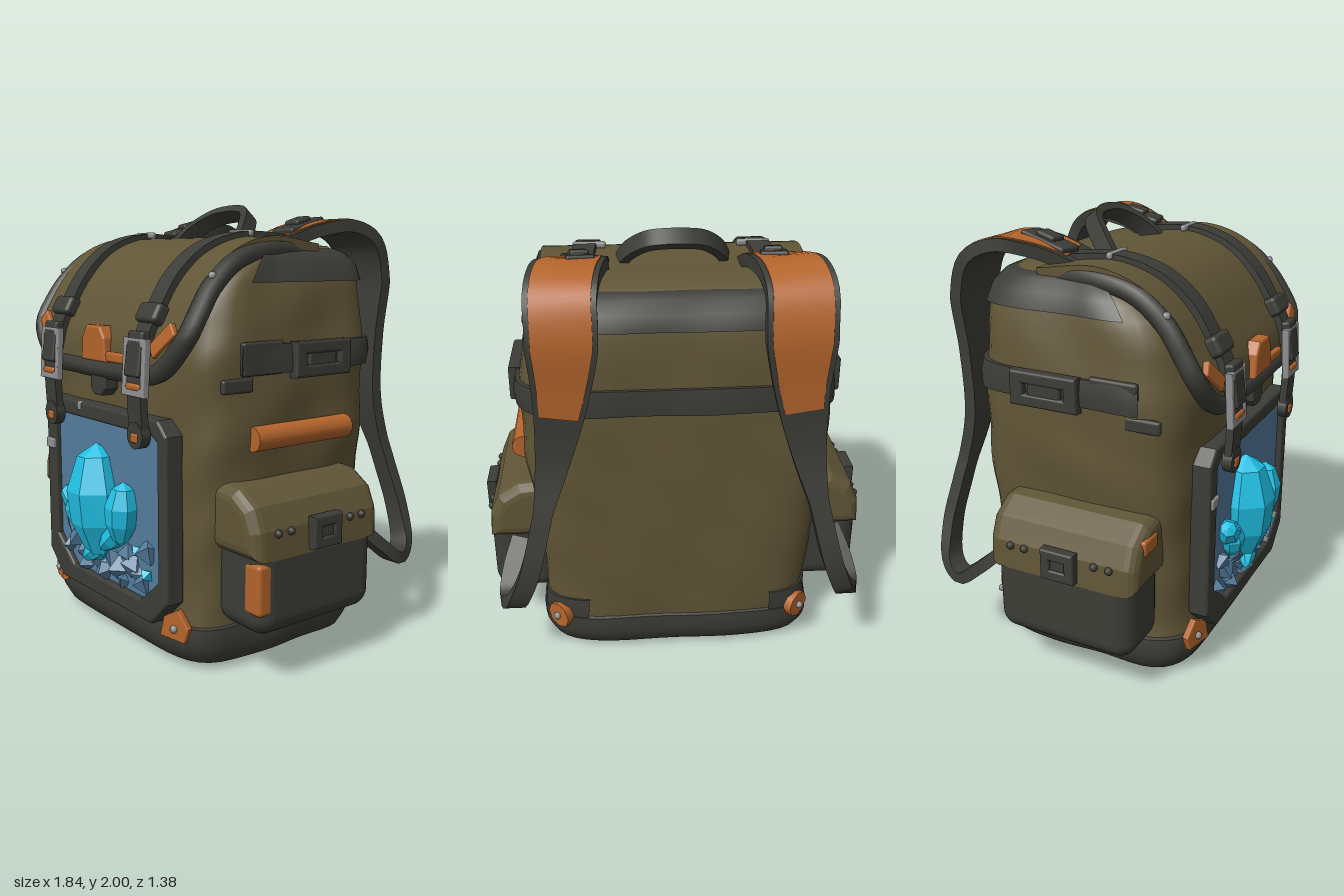
import * as THREE from 'three';
import { mergeVertices, toCreasedNormals } from 'three/addons/utils/BufferGeometryUtils.js';
import { RoundedBoxGeometry } from 'three/addons/geometries/RoundedBoxGeometry.js';

const mat = (name, color) => Object.assign(new THREE.MeshStandardMaterial({ color }), { name });
const V = (p) => new THREE.Vector3(...p);
const lerp = THREE.MathUtils.lerp;

// Surface from a rule f(i, j): i runs right and j runs up, seen from outside
function grid(nu, nv, f, crease = 0.7) {
  const pos = [], idx = [];
  for (let j = 0; j <= nv; j++) for (let i = 0; i <= nu; i++) pos.push(...f(i, j));
  for (let j = 0; j < nv; j++) for (let i = 0; i < nu; i++) {
    const a = j * (nu + 1) + i, d = a + nu + 1;
    idx.push(a, a + 1, d + 1, a, d + 1, d);
  }
  const g = new THREE.BufferGeometry();
  g.setAttribute('position', new THREE.Float32BufferAttribute(pos, 3));
  g.setIndex(idx);
  return toCreasedNormals(mergeVertices(g, 1e-5), crease);
}

// Body cross-sections: height, half width, front z, back z
const sections = [
  [0, 0.56, 0.42, 0.42], [0.03, 0.61, 0.47, 0.46], [0.1, 0.64, 0.5, 0.495], [0.18, 0.64, 0.5, 0.495],
  [0.24, 0.63, 0.495, 0.5], [0.5, 0.645, 0.495, 0.51], [1, 0.695, 0.5, 0.515], [1.35, 0.695, 0.5, 0.515],
  [1.55, 0.67, 0.45, 0.51], [1.65, 0.65, 0.39, 0.5], [1.72, 0.625, 0.3, 0.48], [1.77, 0.59, 0.2, 0.44], [1.8, 0.55, 0.12, 0.38],
];
// Point on the body; s goes round: 0-1 left side, 1-2 back, 2-3 right side, 3-4 front
function bodyPoint(s, y, off = 0, scale = 1) {
  let k = sections.findIndex((r) => r[0] >= y);
  k = k < 0 ? sections.length - 1 : Math.max(k, 1);
  const A = sections[k - 1], B = sections[k], t = Math.min(1, (y - A[0]) / (B[0] - A[0]));
  const [hw, zf, zb] = [1, 2, 3].map((i) => lerp(A[i], B[i], t) + off);
  const side = Math.floor(s) % 4, u = (s % 1) * 2 - 1;
  let [a, b] = [[1, -u], [-u, -1], [-1, u], [u, 1]][side];
  const n = (Math.abs(a) ** 6 + Math.abs(b) ** 6) ** (1 / 6);
  a /= n; b /= n;
  const wob = 1 + 0.012 * Math.sin(11 * y + 6 * b) * Math.sin(8 * a - 6 * y + 2 * b);
  return [a * hw * scale * wob, y, b * (b > 0 ? zf : zb) * scale * wob];
}
// Shell round the body; each row is [y, offset, scale]
const shell = (rows, s0 = 0, s1 = 4, n = 64) =>
  grid(n, rows.length - 1, (i, j) => bodyPoint(lerp(s0, s1, i / n), ...rows[j]));
const bandRows = (y0, y1, o) => [[y0, -0.02], [y0, o], [(y0 + y1) / 2, o + 0.004], [y1, o], [y1, -0.02]];

// Flat strap with a rectangular section, swept along a curve
function ribbon(pts, width, thick, { side = [1, 0, 0], t0 = 0, t1 = 1, lift = 0, n = 40 } = {}) {
  const curve = new THREE.CatmullRomCurve3(pts.map(V), false, 'centripetal');
  const corners = [[1, -1], [1, 1], [-1, 1], [-1, -1], [1, -1]];
  return grid(4, n + 2, (i, j) => {
    const k = Math.min(n, Math.max(0, j - 1)) / n, t = lerp(t0, t1, k);
    const p = curve.getPointAt(t), T = curve.getTangentAt(t), S = V(side);
    S.addScaledVector(T, -T.dot(S)).normalize();
    const N = T.clone().cross(S), cap = j === 0 || j === n + 2 ? 0 : 1;
    const w = (typeof width === 'function' ? width(t) : width) / 2;
    p.addScaledVector(S, corners[i][0] * w * cap).addScaledVector(N, lift + corners[i][1] * thick / 2 * cap);
    return p.toArray();
  });
}

// Extruded plate in the xy plane with an optional hole
function plate(outer, hole, depth, bevel = 0.012) {
  const s = new THREE.Shape(outer.map((p) => new THREE.Vector2(...p)));
  if (hole) s.holes.push(new THREE.Path(hole.map((p) => new THREE.Vector2(...p))));
  return new THREE.ExtrudeGeometry(s, { depth, bevelEnabled: bevel > 0, bevelSize: bevel, bevelThickness: bevel, bevelSegments: 4 });
}
const rect = (w, h) => [[-w, -h], [w, -h], [w, h], [-w, h]];

export function createModel() {
  const model = new THREE.Group();
  const olive = mat('olive canvas', 0x605536), dark = mat('dark webbing', 0x3c3d37), orange = mat('orange leather', 0xb4652c);
  const blue = mat('blue glass', 0x547c9c), cyan = mat('cyan crystal', 0x20c0e4), metal = mat('grey metal', 0x8f8f92);
  const add = (name, geo, m, p = [0, 0, 0], r = [0, 0, 0], parent = model) => {
    const mesh = new THREE.Mesh(geo, m);
    mesh.name = name; mesh.position.set(...p); mesh.rotation.set(...r);
    parent.add(mesh);
    return mesh;
  };
  const box = (w, h, d, r = 0.012) => new RoundedBoxGeometry(w, h, d, 2, r);
  const rivet = new THREE.SphereGeometry(0.018, 8, 6);

  // Main bag, base and webbing bands
  const ys = Array.from({ length: 33 }, (_, i) => [lerp(0.18, 1.8, i / 32)]);
  add('body', shell([...ys, [1.815, 0, 0.7], [1.825, 0, 0]]), olive);
  add('base', shell([[0, 0, 0], [0, 0.008], [0.015, 0.01], [0.03, 0.012], [0.07, 0.014], [0.11, 0.014], [0.16, 0.014], [0.195, 0.012], [0.21, -0.02]]), dark);
  add('upperBand', shell([[1.65, -0.02], [1.65, 0.014], [1.72, 0.014], [1.77, 0.012], [1.79, 0.004], [1.79, -0.03]], 0.2, 2.8), dark);
  add('middleBand', shell(bandRows(1.28, 1.4, 0.016), 0.18, 2.82), dark);

  // Top flap with trim
  add('flap', ribbon([[0, 1.785, -0.2], [0, 1.815, 0.08], [0, 1.755, 0.27], [0, 1.65, 0.39], [0, 1.53, 0.47], [0, 1.4, 0.535], [0, 1.27, 0.55]],
    (t) => (t < 0.82 ? 1.17 : lerp(1.17, 0.86, (t - 0.82) / 0.18)), 0.05), olive);
  const edge = [[0.53, 1.765, -0.2], [0.565, 1.785, 0.05], [0.58, 1.74, 0.26], [0.59, 1.64, 0.39], [0.6, 1.53, 0.47], [0.59, 1.43, 0.525], [0.44, 1.285, 0.55], [0.2, 1.265, 0.555]];
  const trim = [...edge, ...edge.slice().reverse().map(([x, y, z]) => [-x, y, z])].map(V);
  add('flapTrim', new THREE.TubeGeometry(new THREE.CatmullRomCurve3(trim, false, 'centripetal'), 90, 0.043, 8), dark);
  add('flapTab', plate([[-0.09, 1.31], [0.09, 1.31], [0.08, 1.4], [0.05, 1.445], [-0.05, 1.445], [-0.08, 1.4]], null, 0.04), orange, [0, 0, 0.55]);
  add('flapPatch', box(0.18, 0.045, 0.03), orange, [0.18, 1.325, 0.58]);
  add('flapClasp', plate([[-0.05, 1.18], [-0.025, 1.155], [0.025, 1.155], [0.05, 1.18], [0.05, 1.25], [-0.05, 1.25]], null, 0.05), dark, [0, 0, 0.52]);

  // Carry handle
  add('handle', ribbon([[-0.235, 1.81, -0.05], [-0.2, 1.875, -0.11], [-0.12, 1.94, -0.19], [-0.05, 1.955, -0.215], [0.05, 1.955, -0.215], [0.12, 1.94, -0.19], [0.2, 1.875, -0.11], [0.235, 1.81, -0.05]],
    0.08, 0.038, { side: [0, 0.65, 0.76] }), dark);

  // Window: frame, panel, crystals and rubble
  const outer = [[-0.38, 0.2], [0.38, 0.2], [0.495, 0.31], [0.495, 1.02], [0.44, 1.075], [-0.44, 1.075], [-0.495, 1.02], [-0.495, 0.31]];
  const inner = [[-0.28, 0.26], [0.31, 0.26], [0.455, 0.38], [0.455, 1.0], [0.41, 1.03], [-0.41, 1.03], [-0.44, 1.0], [-0.44, 0.39]];
  add('windowFrame', plate(outer, inner, 0.065, 0.014), dark, [0, 0, 0.49]);
  add('windowPanel', plate(inner, null, 0.05, 0), blue, [0, 0, 0.49]);
  const crystal = (r, h, p, tilt) => {
    const profile = [[0, -0.5], [0.45, -0.4], [0.9, -0.15], [1, 0.12], [0.62, 0.4], [0, 0.5]];
    const g = new THREE.LatheGeometry(profile.map(([x, y]) => new THREE.Vector2(x * r, y * h)), 7);
    add('crystal', toCreasedNormals(g, 0.05), cyan, p, [0, 0.4, tilt]);
  };
  crystal(0.145, 0.57, [-0.05, 0.63, 0.555], 0.03);
  crystal(0.08, 0.3, [0.18, 0.63, 0.575], -0.06);
  crystal(0.06, 0.2, [-0.25, 0.6, 0.555], 0.9);
  crystal(0.06, 0.2, [-0.22, 0.55, 0.565], 0.3);
  crystal(0.055, 0.22, [0.1, 0.51, 0.565], -0.8);
  crystal(0.05, 0.18, [-0.05, 0.41, 0.575], -0.9);
  for (const [x, y] of [[0.27, 0.48], [0.34, 0.39]]) add('shard', toCreasedNormals(new THREE.OctahedronGeometry(0.035), 0.05), cyan, [x, y, 0.555], [0.3, 0.4, 0.6]);
  for (let i = 0; i < 18; i++) {
    const x = -0.34 + i * 0.04, y = 0.31 + 0.045 * ((i * 7) % 4) + 0.4 * Math.max(0, Math.abs(x) - 0.22);
    add('rubble', toCreasedNormals(new THREE.OctahedronGeometry(0.045 + 0.01 * (i % 3)), 0.05), blue, [x, y, 0.54], [i, i * 2, i * 3]);
  }
  add('frameClip', box(0.07, 0.05, 0.03, 0.008), metal, [-0.465, 0.85, 0.565]);
  add('frameStud', box(0.03, 0.04, 0.03, 0.008), metal, [-0.185, 1.07, 0.56]);

  // Rolled mat on the left side
  add('sideRoll', new THREE.CylinderGeometry(0.053, 0.053, 0.54, 14), orange, [0.7, 1.015, 0], [Math.PI / 2, 0, 0]);

  for (const sx of [1, -1]) {
    const M = (pts) => pts.map(([x, y, z]) => [x * sx, y, z]);

    // Front closing straps with buckles
    add('frontStrap', ribbon(M([[0.41, 1.83, -0.16], [0.385, 1.845, 0.08], [0.37, 1.79, 0.28], [0.36, 1.68, 0.415], [0.36, 1.56, 0.495], [0.36, 1.42, 0.57], [0.36, 1.25, 0.605], [0.36, 1.03, 0.6]]), 0.1, 0.035), dark);
    add('strapEnd', new THREE.CylinderGeometry(0.058, 0.058, 0.045, 14), dark, [0.36 * sx, 1.02, 0.6], [Math.PI / 2, 0, 0]);
    add('strapEndPatch', box(0.05, 0.04, 0.02, 0.008), orange, [0.36 * sx, 1.01, 0.62]);
    add('strapKeeper', box(0.15, 0.09, 0.07, 0.02), dark, [0.36 * sx, 1.52, 0.525], [-0.5, 0, 0]);
    add('strapBuckle', plate(rect(0.076, 0.115), rect(0.06, 0.09), 0.02, 0.006), metal, [0.36 * sx, 1.305, 0.6], [-0.06, 0, 0]);
    add('buckleTongue', box(0.11, 0.19, 0.045), dark, [0.36 * sx, 1.36, 0.605], [-0.15, 0, 0]);
    add('buckleTab', box(0.1, 0.03, 0.03), orange, [0.36 * sx, 1.225, 0.62]);
    add('topBar', box(0.15, 0.03, 0.03), metal, [0.37 * sx, 1.855, 0.06]);
    add('flapCornerPatch', box(0.16, 0.07, 0.03, 0.008), orange, [0.48 * sx, 1.42, 0.555], [-0.25, 0, sx * 0.72]);

    // Shoulder straps
    const path = M([[0.38, 1.8, -0.08], [0.42, 1.87, -0.26], [0.46, 1.885, -0.42], [0.48, 1.825, -0.54], [0.48, 1.68, -0.595], [0.5, 1.4, -0.58], [0.55, 1.1, -0.57],
      [0.62, 0.8, -0.63], [0.68, 0.58, -0.665], [0.75, 0.42, -0.63], [0.79, 0.375, -0.54], [0.78, 0.45, -0.43], [0.74, 0.55, -0.32]]);
    const width = (t) => (t < 0.12 ? lerp(0.2, 0.29, t / 0.12) : t < 0.3 ? 0.29 : lerp(0.29, 0.085, Math.min(1, (t - 0.3) / 0.32)));
    add('shoulderStrap', ribbon(path, width, 0.055, { n: 70 }), dark);
    add('shoulderPad', ribbon(path, (t) => width(t) - 0.045, 0.02, { t0: 0.03, t1: 0.43, lift: -0.022 }), orange);
    add('shoulderBuckle', box(0.12, 0.04, 0.24), dark, [0.415 * sx, 1.885, -0.24], [0.25, sx * 0.15, 0]);
    add('shoulderBuckleTop', box(0.08, 0.03, 0.1), dark, [0.41 * sx, 1.91, -0.24], [0.25, sx * 0.15, 0]);

    // Side webbing buckle
    add('sideBuckle', plate(rect(0.15, 0.065), rect(0.11, 0.035), 0.03), dark, [0.7 * sx, 1.33, -0.1], [0, sx * Math.PI / 2, 0]);
    add('sideBuckleCore', box(0.04, 0.09, 0.16), dark, [0.715 * sx, 1.33, -0.1]);
    add('webbingEnd', box(0.03, 0.14, 0.22), dark, [0.69 * sx, 1.345, 0.21]);
    add('webbingTail', box(0.03, 0.06, 0.16), dark, [0.685 * sx, 1.24, 0.34]);

    // Side pocket, local +x pointing outward
    const pocket = new THREE.Group();
    pocket.name = 'sidePocket';
    pocket.position.set(0.74 * sx, 0, 0.04);
    pocket.rotation.y = sx > 0 ? 0 : Math.PI;
    model.add(pocket);
    const addP = (name, geo, m, p, r) => add(name, geo, m, p, r, pocket);
    addP('pocketBag', new RoundedBoxGeometry(0.31, 0.42, 0.67, 4, 0.085), dark, [-0.01, 0.43, 0]);
    addP('pocketFlap', plate([[-0.16, 0.605], [0.085, 0.605], [0.08, 0.66], [0.05, 0.73], [-0.02, 0.775], [-0.16, 0.79]], null, 0.61, 0.058), olive, [0, 0, -0.305]);
    addP('pocketClaspFrame', plate(rect(0.07, 0.06), rect(0.045, 0.032), 0.03, 0.01), dark, [0.14, 0.635, -0.01], [0, Math.PI / 2, 0]);
    addP('pocketClasp', box(0.05, 0.13, 0.08), dark, [0.145, 0.63, -0.01]);
    if (sx > 0) addP('pocketPatch', box(0.1, 0.22, 0.08, 0.02), orange, [0.09, 0.43, 0.298]);
    else addP('pocketFlapPatch', box(0.12, 0.07, 0.03), orange, [0, 0.745, -0.355]);
    for (const z of [-0.24, -0.17, 0.17, 0.24]) addP('pocketRivet', rivet, dark, [0.14, 0.66, z]);

    // Corner patches at the base with rivets
    add('frontCornerPatch', plate([[-0.07, -0.05], [0.05, -0.06], [0.07, 0], [0.02, 0.07], [-0.05, 0.03]].map(([x, y]) => [x * sx, y]), null, 0.02, 0.006), orange, [0.49 * sx, 0.2, 0.5], [0, sx * 0.3, 0]);
    add('frontCornerRivet', rivet, metal, [0.5 * sx, 0.19, 0.525]);
    const s = sx > 0 ? 1 : 2;
    add('backCornerGuard', shell(bandRows(0.18, 0.3, 0.008), s - 0.16, s + 0.16, 16), dark);
    add('backCornerPatch', new THREE.CylinderGeometry(0.065, 0.065, 0.04, 8), orange, [0.565 * sx, 0.205, -0.462], [Math.PI / 2, 0, sx * 0.75]);
    add('backCornerRivet', rivet, metal, [0.583 * sx, 0.205, -0.48]);
    add('trimRivet', rivet, metal, [0.6 * sx, 1.68, 0.4]);
  }
  return model;
}
